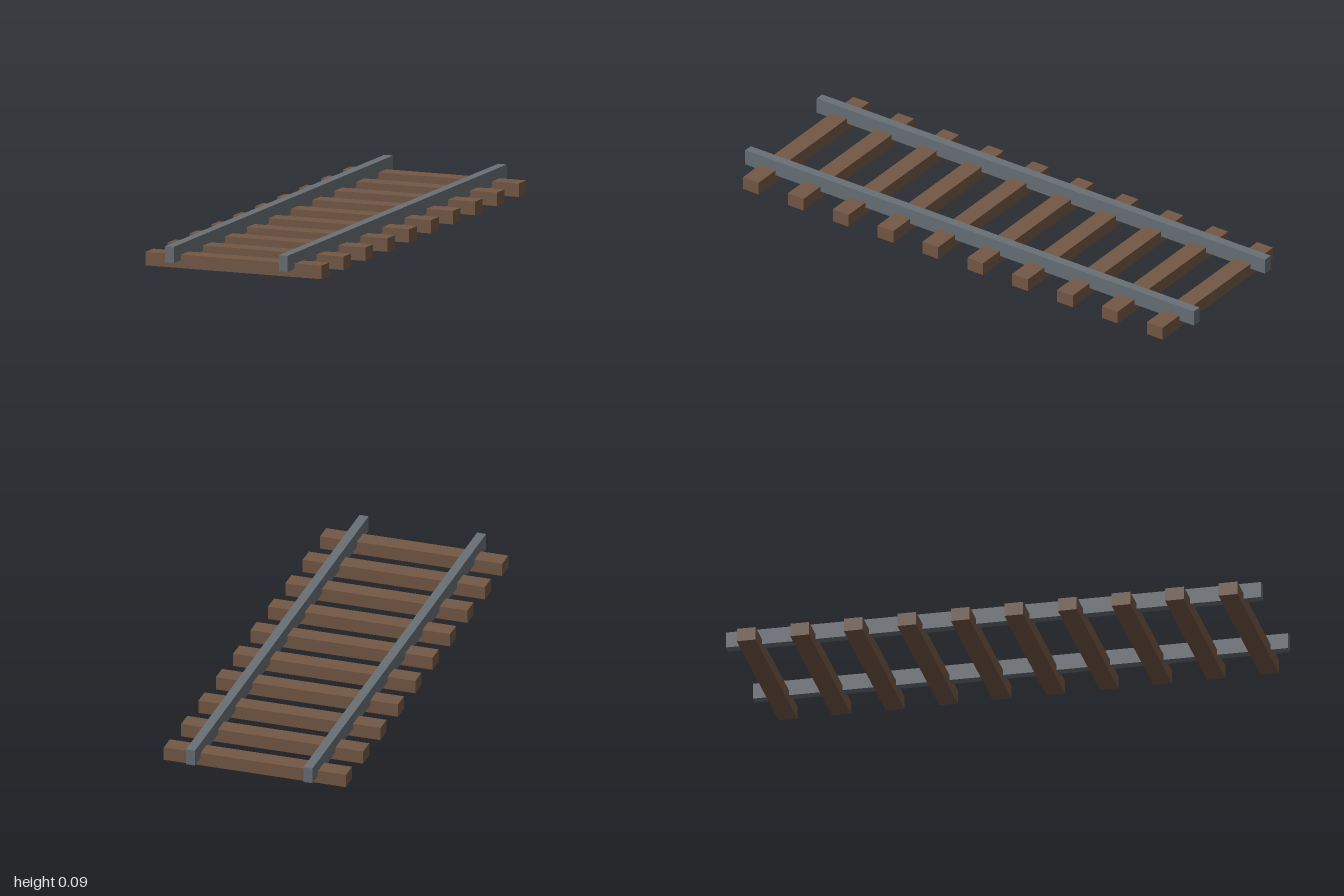
import * as THREE from 'three';

export function createModel() {
  const model = new THREE.Group();
  model.name = 'railwayTrack';

  const wood = new THREE.MeshStandardMaterial({ color: 0x745845 });
  wood.name = 'brown wood';
  const steel = new THREE.MeshStandardMaterial({ color: 0x687076 });
  steel.name = 'grey steel';

  const addBox = (name, geometry, material, x, y, z) => {
    const mesh = new THREE.Mesh(geometry, material);
    mesh.name = name;
    mesh.position.set(x, y, z);
    model.add(mesh);
  };

  // Ten evenly spaced wooden sleepers
  const sleeperCount = 10, spacing = 0.2;
  const sleeper = new THREE.BoxGeometry(0.7, 0.05, 0.07);
  for (let i = 0; i < sleeperCount; i++) {
    const z = (i - (sleeperCount - 1) / 2) * spacing;
    addBox(`sleeper${i + 1}`, sleeper, wood, 0, 0.025, z);
  }

  // Two rails let into the sleepers
  const rail = new THREE.BoxGeometry(0.035, 0.06, 2);
  addBox('leftRail', rail, steel, 0.226, 0.06, 0);
  addBox('rightRail', rail, steel, -0.226, 0.06, 0);

  return model;
}
